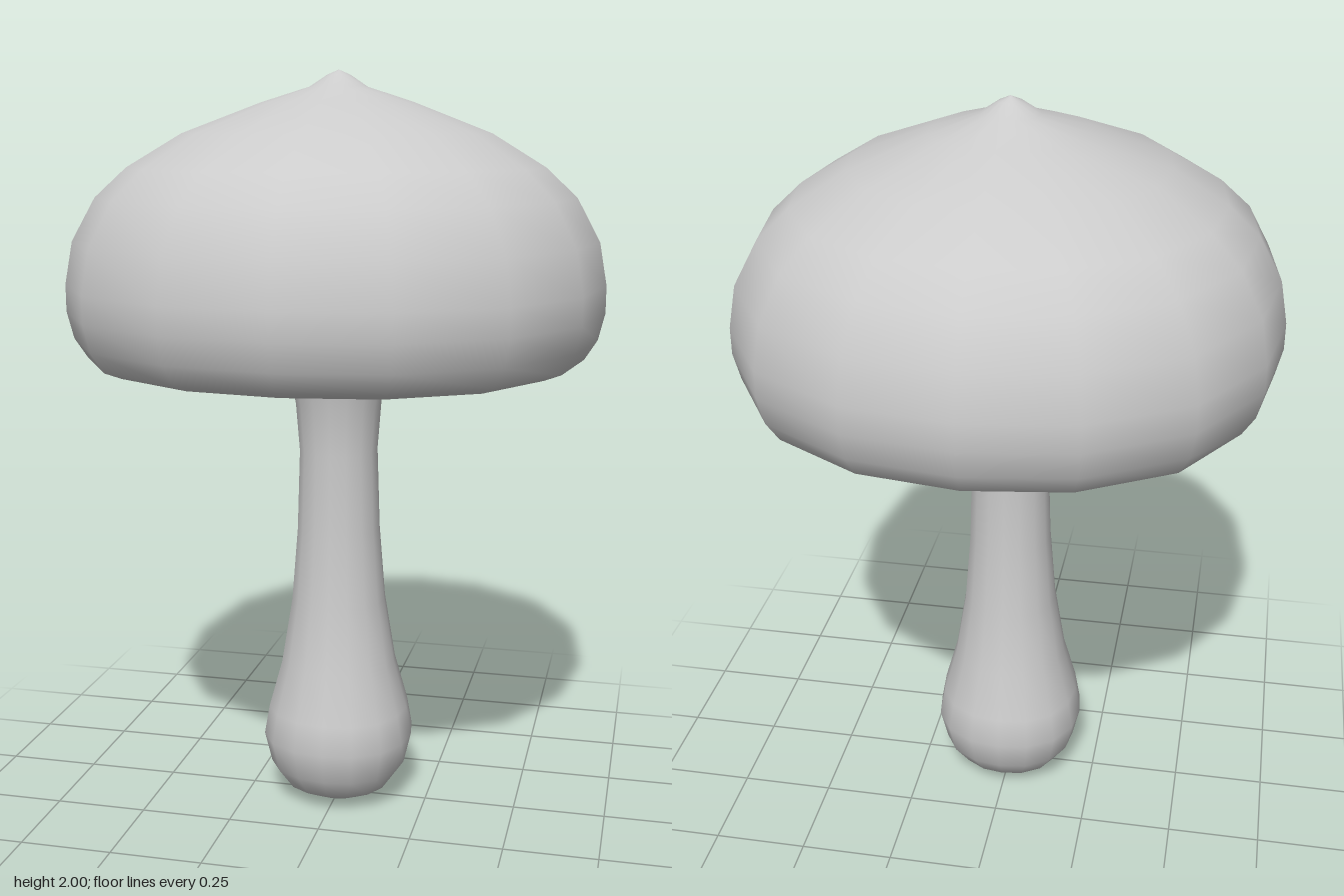
import * as THREE from 'three';

const SIDES = 16;

// Smooth lathe whose rings bulge slightly towards the diagonals
function turned(name, profile, material) {
  const geometry = new THREE.LatheGeometry(profile.map(([r, y]) => new THREE.Vector2(r, y)), SIDES);
  const pos = geometry.attributes.position;
  for (let i = 0; i < pos.count; i++) {
    const x = pos.getX(i), z = pos.getZ(i);
    const k = 1 + 0.02 * (1 - Math.cos(4 * Math.atan2(x, z)));
    pos.setX(i, x * k);
    pos.setZ(i, z * k);
  }
  const mesh = new THREE.Mesh(geometry, material);
  mesh.name = name;
  return mesh;
}

export function createModel() {
  const group = new THREE.Group();
  group.name = 'mushroom';
  const material = new THREE.MeshStandardMaterial({ color: 0xcccccc });

  // Stem: bulbous foot, narrow waist, flared neck that meets the cap
  group.add(turned('stem', [
    [0, 0], [0.08, 0.01], [0.145, 0.045], [0.187, 0.105], [0.207, 0.19],
    [0.193, 0.27], [0.157, 0.4], [0.128, 0.58], [0.112, 0.78], [0.105, 1.0],
    [0.115, 1.13], [0.138, 1.25], [0.165, 1.32], [0.19, 1.36], [0.195, 1.39],
  ], material));

  // Cap: hollow underside, rolled rim, dome and pointed tip
  group.add(turned('cap', [
    [0, 1.385], [0.2, 1.383], [0.4, 1.375], [0.48, 1.355], [0.53, 1.315],
    [0.565, 1.27], [0.605, 1.25], [0.65, 1.268], [0.683, 1.32], [0.7, 1.39],
    [0.7, 1.46], [0.68, 1.57], [0.62, 1.68], [0.54, 1.755], [0.4, 1.84],
    [0.2, 1.917], [0.075, 1.957], [0.03, 1.987], [0, 2],
  ], material));

  return group;
}
